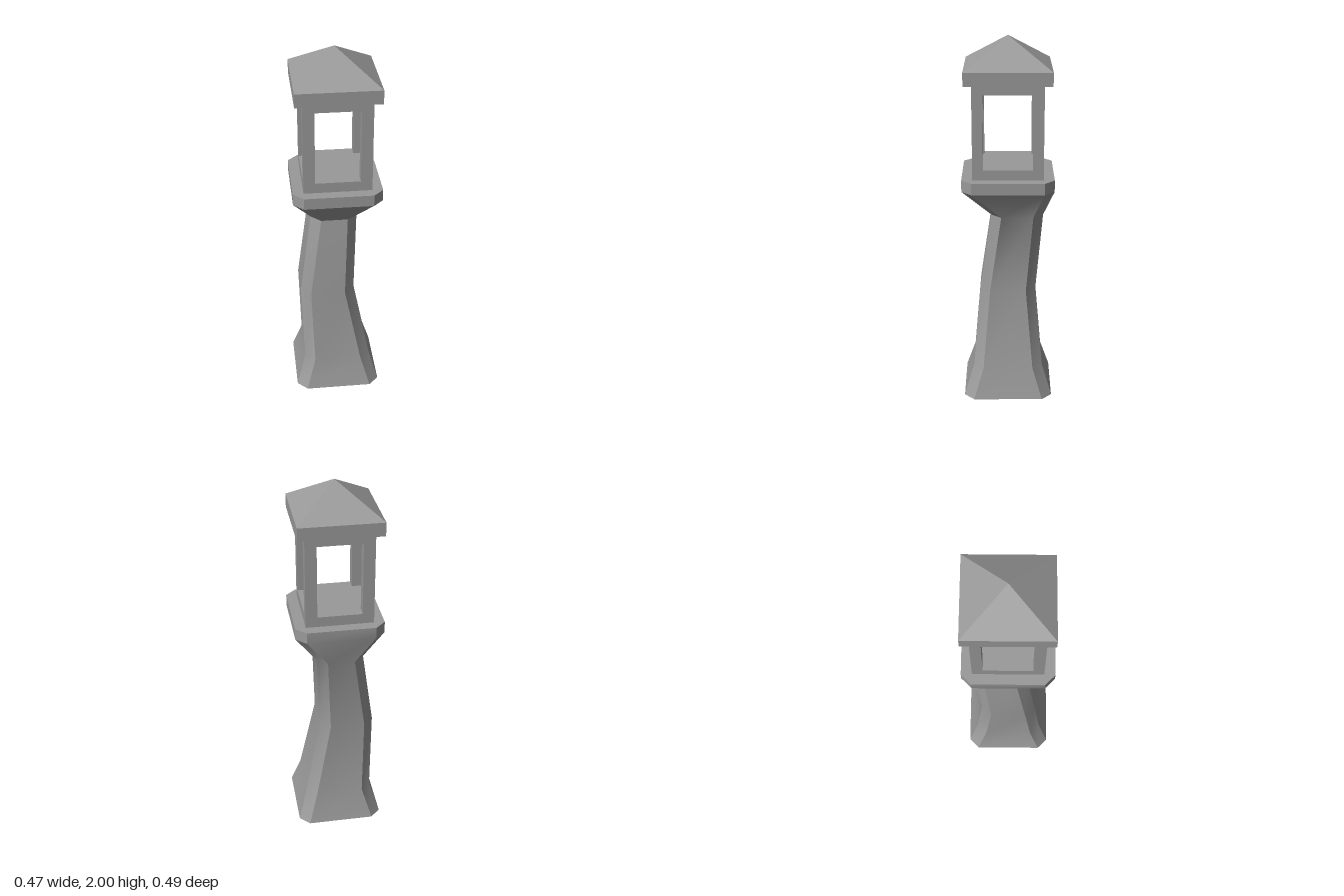
import * as THREE from 'three';
import { toCreasedNormals } from 'three/addons/utils/BufferGeometryUtils.js';

const smooth = new THREE.MeshStandardMaterial({ color: 0x999999 });
const flat = new THREE.MeshStandardMaterial({ color: 0x999999, flatShading: true });

// Rectangle with cut corners, counter-clockwise seen from above
function ring([y, x0, x1, z0, z1], c = 0.054) {
  return [
    [x1, z1 - c], [x1, z0 + c], [x1 - c, z0], [x0 + c, z0],
    [x0, z0 + c], [x0, z1 - c], [x0 + c, z1], [x1 - c, z1],
  ].map(([x, z]) => [x, y, z]);
}

// Skin through a stack of rings, capped at both ends
function loft(sections) {
  const rings = sections.map((s) => ring(s));
  const n = rings[0].length;
  const pos = [];
  const tri = (a, b, c) => pos.push(...a, ...b, ...c);
  for (let k = 0; k < rings.length - 1; k++) {
    const lo = rings[k], hi = rings[k + 1];
    for (let i = 0; i < n; i++) {
      const j = (i + 1) % n;
      tri(lo[i], lo[j], hi[j]);
      tri(lo[i], hi[j], hi[i]);
    }
  }
  const bottom = rings[0], top = rings[rings.length - 1];
  for (let i = 1; i < n - 1; i++) {
    tri(bottom[0], bottom[i + 1], bottom[i]);
    tri(top[0], top[i], top[i + 1]);
  }
  const geo = new THREE.BufferGeometry();
  geo.setAttribute('position', new THREE.Float32BufferAttribute(pos, 3));
  return toCreasedNormals(geo, THREE.MathUtils.degToRad(33));
}

export function createModel() {
  const model = new THREE.Group();
  model.name = 'lanternTower';

  const add = (parent, name, geo, mat) => {
    const mesh = new THREE.Mesh(geo, mat);
    mesh.name = name;
    parent.add(mesh);
    return mesh;
  };
  const box = (parent, name, w, d, y0, y1, x = 0, z = 0) =>
    add(parent, name, new THREE.BoxGeometry(w, y1 - y0, d), flat).position.set(x, (y0 + y1) / 2, z);

  // Crooked shaft flaring into the platform: y, x range, z range
  add(model, 'shaftAndPlatform', loft([
    [0, -0.235, 0.235, -0.244, 0.244],
    [0.17, -0.184, 0.184, -0.191, 0.191],
    [0.605, -0.199, 0.098, -0.153, 0.153],
    [1.045, -0.134, 0.118, -0.19, 0.09],
    [1.213, -0.235, 0.235, -0.244, 0.244],
    [1.275, -0.235, 0.235, -0.244, 0.244],
  ]), smooth);

  // Open lantern room: sill, four corner posts, lintel
  const lantern = new THREE.Group();
  lantern.name = 'lanternRoom';
  model.add(lantern);
  const W = 0.358, D = 0.372, pw = 0.061, pd = 0.056;
  box(lantern, 'sill', W, D, 1.275, 1.33);
  box(lantern, 'lintel', W, D, 1.725, 1.776);
  for (const sx of [-1, 1]) {
    for (const sz of [-1, 1]) {
      box(lantern, 'cornerPost', pw, pd, 1.33, 1.725, sx * (W - pw) / 2, sz * (D - pd) / 2);
    }
  }

  // Eaves slab and pyramid roof
  const rw = 0.438, rd = 0.454;
  box(model, 'eaves', rw, rd, 1.776, 1.848);
  const roof = new THREE.ConeGeometry(Math.SQRT1_2, 0.152, 4, 1, true);
  roof.rotateY(Math.PI / 4).scale(rw, 1, rd).translate(0, 1.924, 0);
  add(model, 'roof', roof, flat);

  return model;
}
